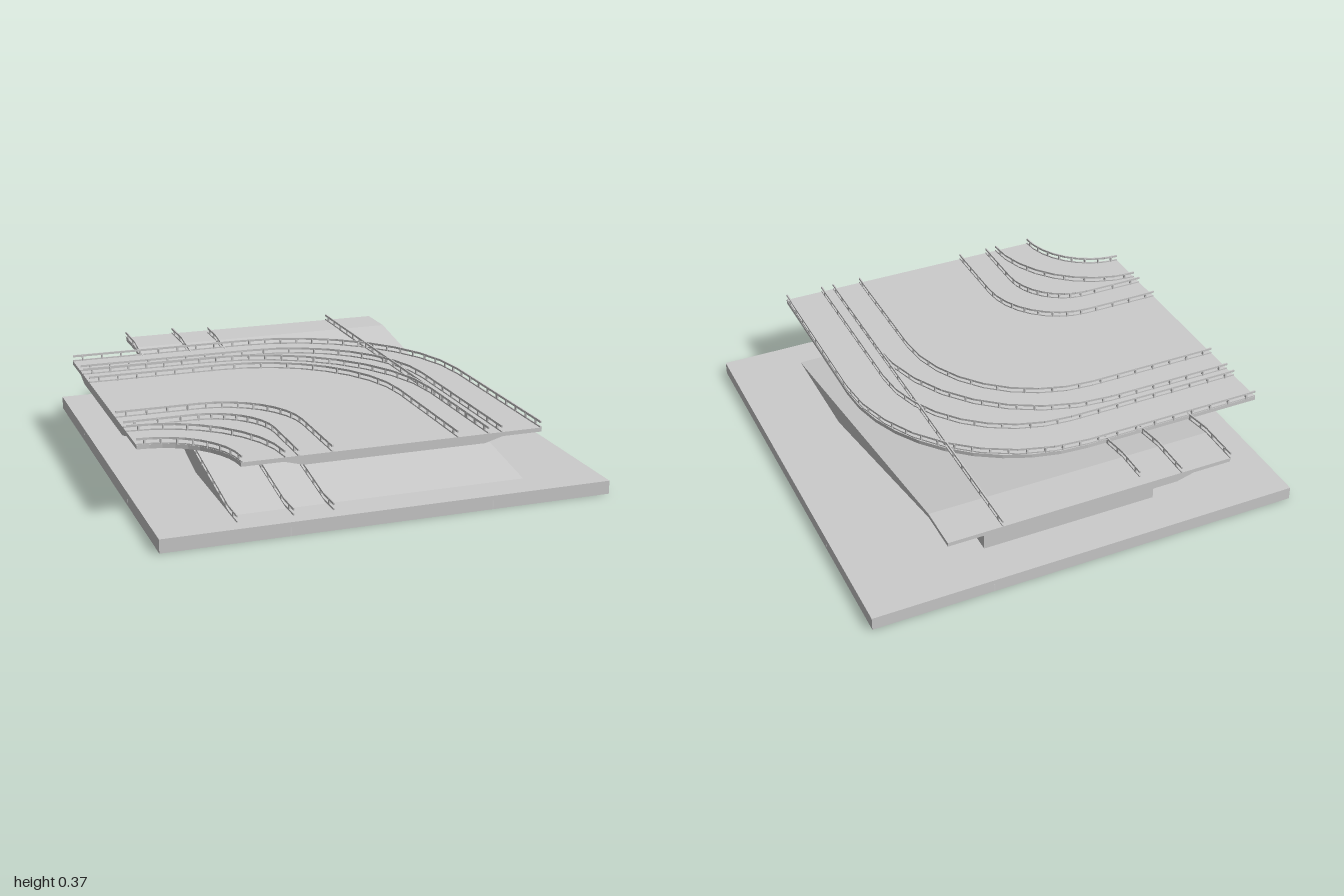
import * as THREE from 'three';
import { mergeGeometries } from 'three/addons/utils/BufferGeometryUtils.js';

const material = new THREE.MeshStandardMaterial({ color: 0xcccccc, flatShading: true });
const V = (x, y, z) => new THREE.Vector3(x, y, z);
const DECK = 0.34, GROUND = 0.06;

function mesh(name, geometry) {
  const m = new THREE.Mesh(geometry, material);
  m.name = name;
  return m;
}

// Box whose length runs from a to b
function bar(a, b, width, height) {
  const helper = new THREE.Object3D();
  helper.position.copy(a).lerp(b, 0.5);
  helper.lookAt(b);
  helper.updateMatrix();
  return new THREE.BoxGeometry(width, height, a.distanceTo(b)).applyMatrix4(helper.matrix);
}

// Plan line entering at x = -1 (z = -a), turning with radius r, leaving at z = 1 (x = a)
function bend(a, r, y = DECK, n = 8) {
  const points = [V(-1, y, -a)];
  for (let i = 0; i <= n; i++) {
    const t = (i / n) * Math.PI / 2;
    points.push(V(a - r + r * Math.sin(t), y, -a + r - r * Math.cos(t)));
  }
  points.push(V(a, y, 1));
  return points.filter((p, i) => i === 0 || p.distanceTo(points[i - 1]) > 1e-4);
}

// Guard rail: curb, hand rail and evenly spaced posts along a path
function railing(path) {
  const parts = [];
  const shift = (p, dy) => V(p.x, p.y + dy, p.z);
  for (let i = 0; i + 1 < path.length; i++) {
    const a = path[i], b = path[i + 1];
    parts.push(bar(shift(a, 0.025), shift(b, 0.025), 0.006, 0.01));
    parts.push(bar(shift(a, 0.002), shift(b, 0.002), 0.006, 0.008));
    const count = Math.max(1, Math.round(a.distanceTo(b) / 0.09));
    for (let k = 0; k < count; k++) {
      const p = a.clone().lerp(b, (k + 0.5) / count);
      parts.push(new THREE.BoxGeometry(0.007, 0.026, 0.012).translate(p.x, p.y + 0.012, p.z));
    }
  }
  return mergeGeometries(parts);
}

// Skin over eight-point road sections, closed at both ends
function loft(rings) {
  const positions = [];
  const quad = (a, b, c, d) => [a, b, c, a, c, d].forEach(p => positions.push(p.x, p.y, p.z));
  for (let i = 0; i + 1 < rings.length; i++) {
    for (let j = 0; j < 8; j++) {
      const k = (j + 1) % 8;
      quad(rings[i][j], rings[i + 1][j], rings[i + 1][k], rings[i][k]);
    }
  }
  const s = rings[0], e = rings[rings.length - 1];
  quad(s[0], s[1], s[2], s[7]);
  quad(s[6], s[3], s[4], s[5]);
  quad(e[7], e[2], e[1], e[0]);
  quad(e[5], e[4], e[3], e[6]);
  const g = new THREE.BufferGeometry();
  g.setAttribute('position', new THREE.Float32BufferAttribute(positions, 3));
  g.computeVertexNormals();
  return g;
}

// Road section between two edge points: flat top, thin lips and a shallow keel
function section(inner, outer, top, lip, keel) {
  const at = (w, y) => inner.clone().lerp(outer, (w + 0.66) / 1.32).setY(y);
  return [at(-0.66, top), at(0.66, top), at(0.66, lip), at(0.48, lip),
    at(0.4, keel), at(-0.4, keel), at(-0.48, lip), at(-0.66, lip)];
}

function createBase() {
  const base = new THREE.Group();
  base.name = 'base';
  const plate = new THREE.BoxGeometry(2, 0.02, 2).translate(0, 0.05, 0);
  base.add(mesh('groundPlate', plate));

  // Rim and ribs beneath the hollow plate
  const ribs = [];
  for (const p of [-0.985, -0.45, 0.45, 0.985]) {
    const width = Math.abs(p) > 0.9 ? 0.03 : 0.015;
    ribs.push(new THREE.BoxGeometry(width, 0.04, 2).translate(p, 0.02, 0));
    ribs.push(new THREE.BoxGeometry(2, 0.04, width).translate(0, 0.02, p));
  }
  const arcs = [bend(-0.45, 0.55, 0.02), bend(0.45, 1.45, 0.02)];
  arcs.push(arcs[0].map(p => V(-p.x, p.y, -p.z)));
  for (const arc of arcs) {
    for (let i = 0; i + 1 < arc.length; i++) ribs.push(bar(arc[i], arc[i + 1], 0.012, 0.04));
  }
  base.add(mesh('undersideRibs', mergeGeometries(ribs)));
  return base;
}

function createRamp() {
  const ramp = new THREE.Group();
  ramp.name = 'ramp';
  // z, top, lip and keel heights from the raised end to the ground
  const stations = [[-1, DECK, 0.322, 0.3], [-0.8, DECK, 0.322, 0.3],
    [0.2, 0.17, 0.085, GROUND], [0.305, 0.152, GROUND, GROUND], [0.85, GROUND, GROUND, GROUND]];
  ramp.add(mesh('rampRoad', loft(stations.map(([z, top, lip, keel]) =>
    section(V(-0.66, 0, z), V(0.66, 0, z), top, lip, keel)))));

  // Solid wedge carrying the ramp
  const wedge = new THREE.Shape([new THREE.Vector2(0.8, GROUND),
    new THREE.Vector2(0.8, 0.305), new THREE.Vector2(-0.22, GROUND)]);
  const support = new THREE.ExtrudeGeometry(wedge, { depth: 0.82, bevelEnabled: false });
  support.translate(0, 0, -0.41).rotateY(Math.PI / 2);
  ramp.add(mesh('rampSupport', support));

  // Sloping rails on the ramp's right side
  for (const x of [-0.66, -0.42, -0.245]) {
    const end = x > -0.3 ? -0.95 : -1;
    const path = [V(x, DECK, end), V(x, DECK, -0.8), V(x, 0.065, 0.82), V(x, 0.065, 0.94)];
    ramp.add(mesh('rampRailing', railing(path)));
  }
  return ramp;
}

function createFlyover() {
  const flyover = new THREE.Group();
  flyover.name = 'curvedFlyover';
  // Both edges have the same point count: the inner one starts turning at once
  const n = 10, inner = [], outer = [];
  for (let i = -1; i <= n + 1; i++) {
    const t = THREE.MathUtils.clamp(i / n, 0, 1) * Math.PI / 2;
    const s = Math.sin(t), c = Math.cos(t);
    inner.push(V(-1 + 0.34 * s, 0, 1 - 0.34 * c));
    outer.push(V(i < 0 ? -1 : -0.15 + 0.81 * s, 0, i > n ? 1 : 0.15 - 0.81 * c));
  }
  flyover.add(mesh('deck', loft(inner.map((p, i) => section(p, outer[i], DECK, 0.322, 0.3)))));

  // Rails as offset from the road centre and turning radius
  const rails = [[0.655, 0.81], [0.475, 0.635], [0.415, 0.81], [0.275, 0.645],
    [-0.275, 0.36], [-0.42, 0.28], [-0.475, 0.525], [-0.655, 0.345]];
  for (const [offset, radius] of rails) {
    flyover.add(mesh('curvedRailing', railing(bend(offset, radius))));
  }
  flyover.add(mesh('straightRailing', railing([V(0.415, DECK, -1), V(0.415, DECK, 1)])));
  return flyover;
}

export function createModel() {
  const model = new THREE.Group();
  model.name = 'roadInterchange';
  model.add(createBase(), createRamp(), createFlyover());
  return model;
}
